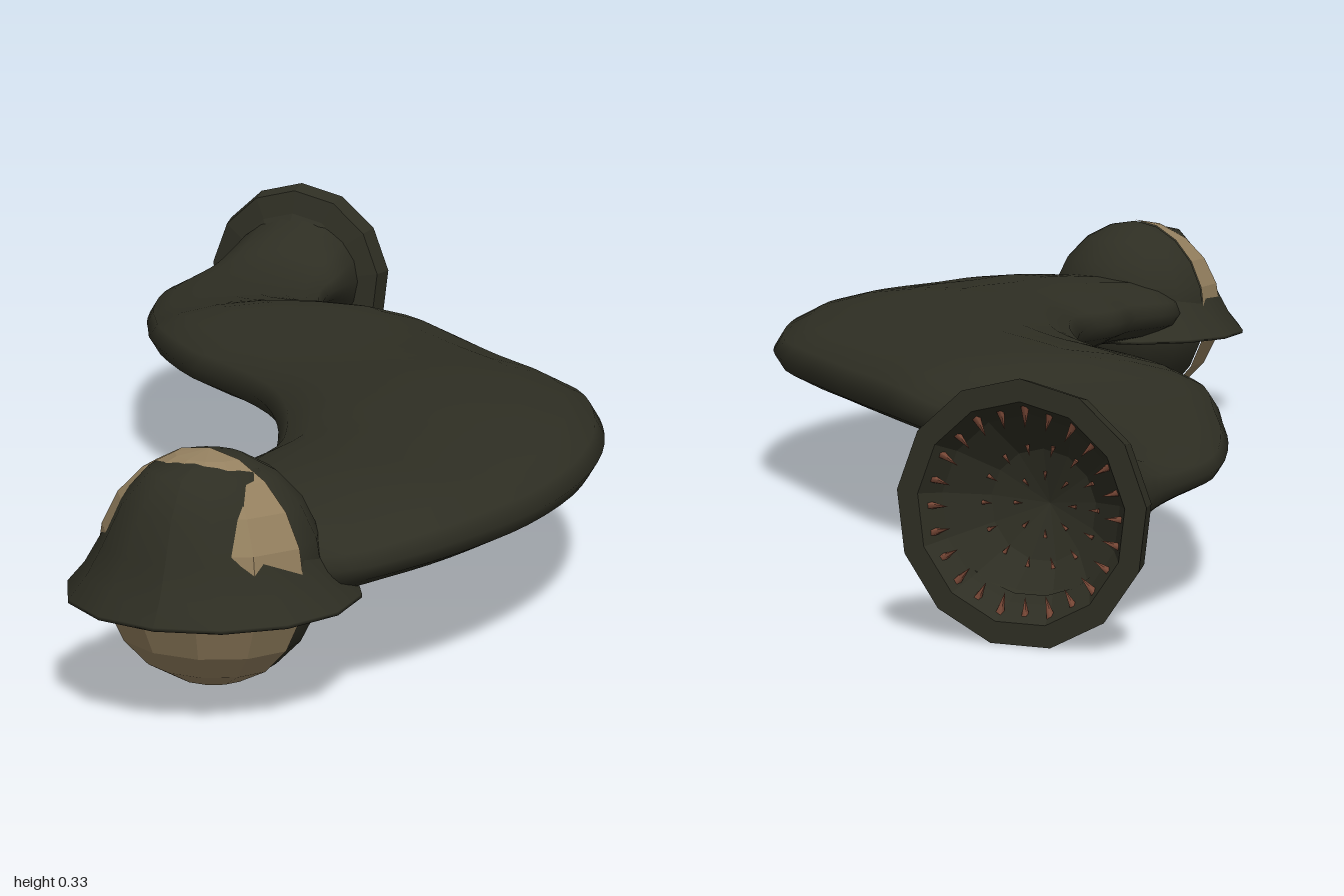
import * as THREE from 'three';

const mat = (name, color, extra = {}) => {
  const m = new THREE.MeshStandardMaterial({ color, ...extra });
  m.name = name;
  return m;
};

export function createModel() {
  const group = new THREE.Group();
  const skin = mat('dark olive skin', 0x2e2e23, { side: THREE.DoubleSide });
  const tan = mat('tan mouth', 0x94805f, { flatShading: true });
  const red = mat('reddish teeth', 0x7c4a38);
  const add = (name, geo, material, parent = group) => {
    const mesh = new THREE.Mesh(geo, material);
    mesh.name = name;
    parent.add(mesh);
    return mesh;
  };

  // Winding body: right edge x,z, left edge x,z, underside y, top y
  const rows = [
    [-0.505, -0.965, -0.265, -0.965, 0.06, 0.28],
    [-0.502, -0.9, -0.262, -0.91, 0.09, 0.26],
    [-0.508, -0.83, -0.26, -0.85, 0.125, 0.23],
    [-0.514, -0.76, -0.255, -0.78, 0.137, 0.22],
    [-0.512, -0.66, -0.225, -0.69, 0.137, 0.22],
    [-0.46, -0.49, -0.15, -0.57, 0.137, 0.23],
    [-0.41, -0.38, -0.02, -0.5, 0.137, 0.245],
    [-0.35, -0.26, 0.07, -0.44, 0.137, 0.265],
    [-0.24, -0.13, 0.2, -0.32, 0.137, 0.265],
    [-0.15, -0.06, 0.3, -0.22, 0.137, 0.265],
    [-0.04, 0.05, 0.42, -0.1, 0.137, 0.27],
    [0.03, 0.16, 0.485, 0.03, 0.137, 0.275],
    [0.08, 0.27, 0.53, 0.18, 0.137, 0.275],
    [0.11, 0.38, 0.545, 0.32, 0.137, 0.268],
    [0.095, 0.48, 0.533, 0.48, 0.137, 0.262],
    [0.1, 0.56, 0.5, 0.61, 0.137, 0.26],
    [0.08, 0.67, 0.45, 0.72, 0.137, 0.25],
    [0.1, 0.75, 0.39, 0.8, 0.137, 0.24],
    [0.19, 0.82, 0.26, 0.84, 0.16, 0.21],
  ];
  const sides = 18, steps = 54;
  const edge = (a, b, c) => new THREE.CatmullRomCurve3(rows.map(r => new THREE.Vector3(r[a], r[c], r[b])));
  const right = edge(0, 1, 4), left = edge(2, 3, 5);
  const pos = [], idx = [];
  for (let i = 0; i <= steps; i++) {
    const R = right.getPoint(i / steps), L = left.getPoint(i / steps);
    const mid = R.clone().add(L).multiplyScalar(0.5);
    const half = L.clone().sub(R).multiplyScalar(0.5);
    for (let j = 0; j < sides; j++) {
      const a = j / sides * Math.PI * 2, c = Math.cos(a), s = Math.sin(a);
      pos.push(mid.x + half.x * c, mid.y + half.y * s, mid.z + half.z * c);
      if (i < steps) {
        const p = i * sides + j, q = i * sides + (j + 1) % sides;
        idx.push(p, q, p + sides, q, q + sides, p + sides);
      }
    }
  }
  const bodyGeo = new THREE.BufferGeometry();
  bodyGeo.setAttribute('position', new THREE.Float32BufferAttribute(pos, 3));
  bodyGeo.setIndex(idx);
  bodyGeo.computeVertexNormals();
  add('body', bodyGeo, skin);

  // Tail sucker, a flared rim around a hollow bowl
  const sucker = new THREE.Group();
  sucker.name = 'tailSucker';
  sucker.position.set(-0.387, 0.166, 0);
  group.add(sucker);
  const profile = (pts) => pts.map(([r, y]) => new THREE.Vector2(r, y));
  const rimGeo = new THREE.LatheGeometry(profile([
    [0.1, 0.94], [0.118, 0.955], [0.157, 0.965], [0.165, 1], [0.137, 1],
    [0.118, 0.97], [0.07, 0.93], [0, 0.91]]), 13).toNonIndexed();
  rimGeo.rotateX(-Math.PI / 2);
  rimGeo.computeVertexNormals();
  add('suckerRim', rimGeo, skin, sucker);

  // Rings of small teeth pointing to the middle of the bowl
  for (const [count, r, z, len] of [[24, 0.117, -0.985, 0.028], [14, 0.07, -0.94, 0.014], [8, 0.035, -0.925, 0.012]]) {
    for (let i = 0; i < count; i++) {
      const a = i / count * Math.PI * 2;
      const tooth = add('tooth', new THREE.ConeGeometry(len * 0.22, len, 5), red, sucker);
      tooth.position.set(Math.cos(a) * r, Math.sin(a) * r, z);
      tooth.rotation.z = a + Math.PI / 2;
    }
  }

  // Round head, tan in front and dark behind
  const head = new THREE.Group();
  head.name = 'head';
  head.position.set(0.21, 0.182, 0.82);
  head.rotation.y = -0.31;
  head.scale.z = 0.9;
  group.add(head);
  add('mouth', new THREE.SphereGeometry(0.153, 6, 10, 0, Math.PI), tan, head);
  add('headBack', new THREE.SphereGeometry(0.151, 8, 10, Math.PI, Math.PI), skin, head);

  // Bell-shaped hood leaning forward over the mouth
  const hoodGeo = new THREE.LatheGeometry(profile([
    [0, 0.145], [0.19, 0.145], [0.19, 0.15], [0.165, 0.178], [0.14, 0.218], [0.11, 0.272],
    [0.07, 0.315], [0, 0.33]]), 14);
  const p = hoodGeo.attributes.position;
  for (let i = 0; i < p.count; i++) p.setZ(i, p.getZ(i) + (p.getY(i) - 0.145) * 0.18);
  hoodGeo.computeVertexNormals();
  const hood = add('hood', hoodGeo, skin);
  hood.position.set(0.21, 0, 0.81);

  return group;
}
